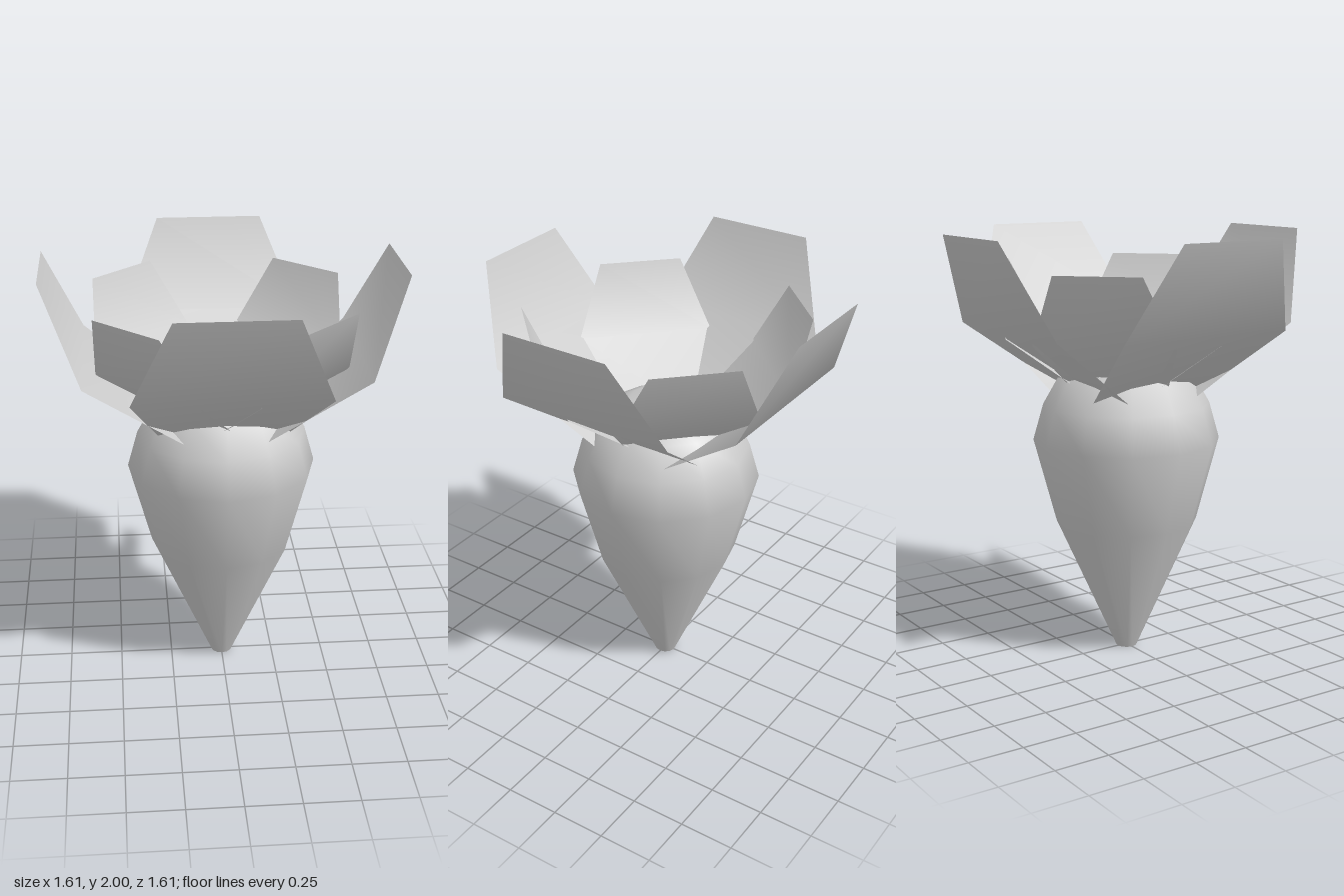
import * as THREE from 'three';

// Petal facing +z: each row is [height, distance from axis, half width]
function petalGeometry(rows) {
  const positions = [], index = [];
  rows.forEach(([y, out, half], i) => {
    positions.push(-half, y, out, half, y, out);
    if (i > 0) {
      const a = 2 * (i - 1);
      index.push(a, a + 3, a + 1, a, a + 2, a + 3);
    }
  });
  const geometry = new THREE.BufferGeometry();
  geometry.setAttribute('position', new THREE.Float32BufferAttribute(positions, 3));
  geometry.setIndex(index);
  geometry.computeVertexNormals();
  return geometry;
}

export function createModel() {
  const model = new THREE.Group();
  model.name = 'flowerBud';
  const lightGrey = new THREE.MeshStandardMaterial({ color: 0xcccccc, side: THREE.DoubleSide });
  lightGrey.name = 'lightGrey';

  // Tapered bulb, pointed at the bottom with a domed top
  const profile = [
    [0.05, 0], [0.335, 0.635], [0.44, 1.03], [0.392, 1.2],
    [0.31, 1.345], [0.17, 1.42], [0, 1.45],
  ].map(([r, y]) => new THREE.Vector2(r, y));
  const bulb = new THREE.Mesh(new THREE.LatheGeometry(profile, 12), lightGrey);
  bulb.name = 'bulb';
  model.add(bulb);

  // Small flat end under the bulb
  const tip = new THREE.Mesh(new THREE.CircleGeometry(0.05, 12), lightGrey);
  tip.rotation.x = Math.PI / 2;
  tip.name = 'bulbTip';
  model.add(tip);

  // Two rings of four petals, the inner ring turned by an eighth
  const rings = [
    ['outerPetal', 0, [[1.2, 0.11, 0.28], [1.58, 0.63, 0.43], [2, 0.805, 0.255]]],
    ['innerPetal', Math.PI / 4, [[1.24, 0.1, 0.205], [1.53, 0.49, 0.32], [1.85, 0.62, 0.195]]],
  ];
  for (const [name, turn, rows] of rings) {
    const geometry = petalGeometry(rows);
    for (let i = 0; i < 4; i++) {
      const petal = new THREE.Mesh(geometry, lightGrey);
      petal.rotation.y = turn + i * Math.PI / 2;
      petal.name = name + (i + 1);
      model.add(petal);
    }
  }
  return model;
}
